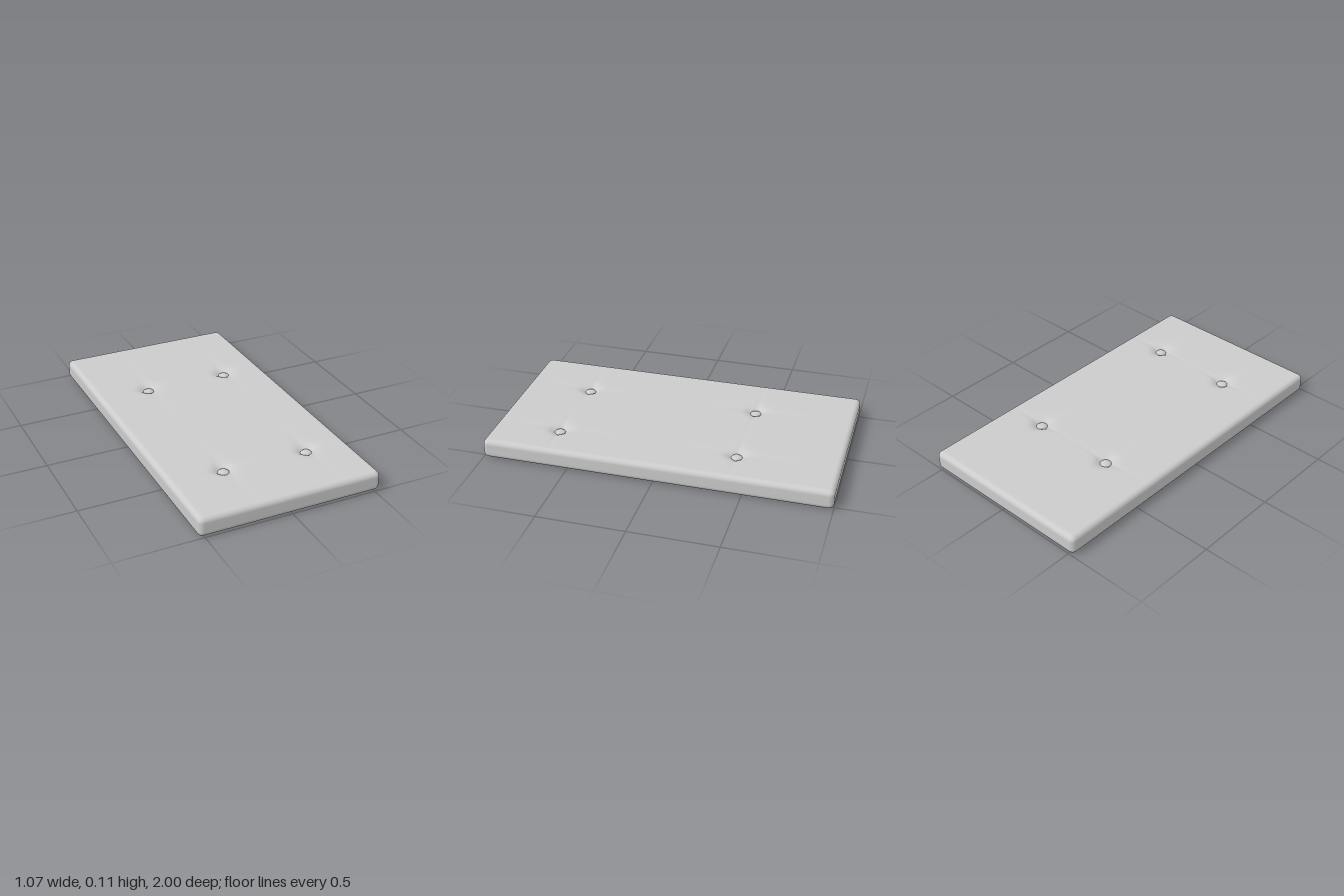
import * as THREE from 'three';
import { mergeVertices } from 'three/addons/utils/BufferGeometryUtils.js';

const W = 1.065, H = 0.113, D = 2, R = 0.03;
const tufts = [[-0.215, -0.42], [0.29, -0.42], [-0.21, 0.61], [0.29, 0.62]];

// Grid lines along one axis: fine at the rounded edges and around the tufts
function gridLines(size, centres) {
  const h = size / 2, lines = [];
  for (let i = 0; i <= 5; i++) {
    const t = h - R + R * Math.tan((i / 5) * Math.PI / 4);
    lines.push(t, -t);
  }
  let p = -h + R;
  while (true) {
    const near = Math.min(9, ...centres.map((c) => Math.abs(p - c)));
    p += near < 0.07 ? 0.007 : near < 0.14 ? 0.014 : 0.035;
    if (p > h - R - 0.005) break;
    lines.push(p);
  }
  return lines.sort((a, b) => a - b);
}

// Depth of the top surface: a pit at each tuft with creases running out of it
function sink(x, z) {
  let depth = 0;
  for (const [cx, cz] of tufts) {
    const dx = Math.abs(x - cx), dz = Math.abs(z - cz);
    const pit = 0.03 * Math.exp(-((dx * dx + dz * dz) / 0.0022));
    const creaseX = 0.008 * Math.exp(-dx / 0.08 - (dz / 0.016) ** 2);
    const creaseZ = 0.005 * Math.exp(-dz / 0.12 - (dx / 0.03) ** 2);
    depth = Math.max(depth, pit + creaseX + creaseZ);
  }
  return depth;
}

function cushionGeometry() {
  const axes = [
    gridLines(W, tufts.map((t) => t[0])),
    gridLines(H, []),
    gridLines(D, tufts.map((t) => t[1])),
  ];
  const n = axes.map((a) => a.length - 1);
  let geo = new THREE.BoxGeometry(1, 1, 1, ...n);
  const pos = geo.attributes.position;
  const inner = new THREE.Vector3(W / 2 - R, H / 2 - R, D / 2 - R);
  const low = inner.clone().negate();
  const p = new THREE.Vector3(), core = new THREE.Vector3();
  for (let i = 0; i < pos.count; i++) {
    const [x, y, z] = [pos.getX(i), pos.getY(i), pos.getZ(i)]
      .map((v, k) => axes[k][Math.round((v + 0.5) * n[k])]);
    // Round all edges and corners
    p.set(x, y, z);
    core.copy(p).clamp(low, inner);
    p.sub(core).setLength(R).add(core);
    if (p.y > H / 2 - R) p.y -= sink(p.x, p.z) * (p.y - H / 2 + R) / R;
    pos.setXYZ(i, p.x, p.y + H / 2, p.z);
  }
  geo.deleteAttribute('uv');
  geo.deleteAttribute('normal');
  geo = mergeVertices(geo, 1e-5);
  geo.computeVertexNormals();
  return geo;
}

export function createModel() {
  const model = new THREE.Group();
  model.name = 'mattress';
  const material = new THREE.MeshStandardMaterial({ color: 0xcccccc });

  const cushion = new THREE.Mesh(cushionGeometry(), material);
  cushion.name = 'cushion';
  model.add(cushion);

  // Domed buttons set into the pits
  const buttonGeo = new THREE.SphereGeometry(0.033, 24, 14);
  buttonGeo.scale(1, 0.5, 1);
  for (const [x, z] of tufts) {
    const button = new THREE.Mesh(buttonGeo, material);
    button.name = 'tuftButton';
    button.position.set(x, H - 0.027, z);
    model.add(button);
  }
  return model;
}
